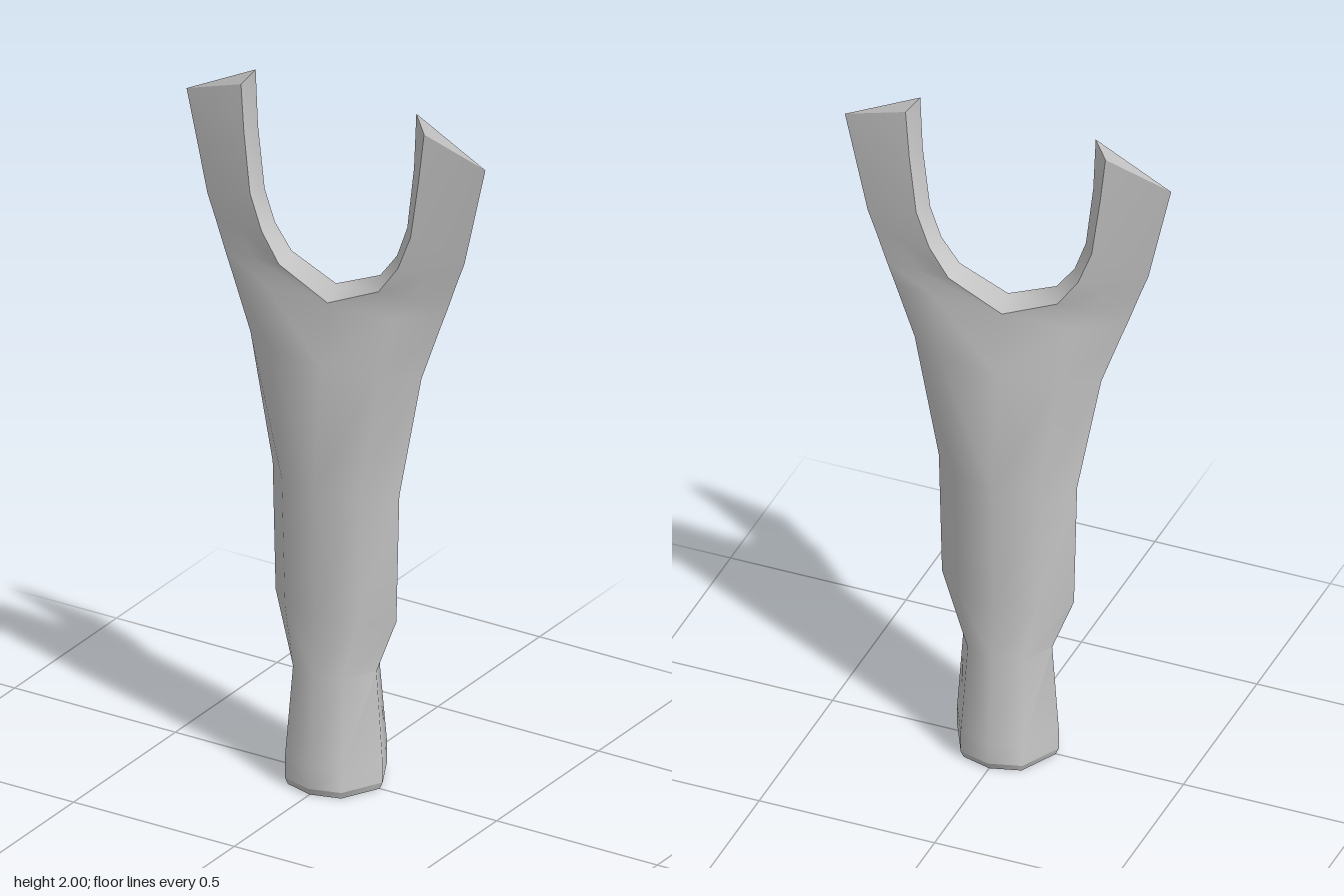
import * as THREE from 'three';
import { toCreasedNormals } from 'three/addons/utils/BufferGeometryUtils.js';

const material = new THREE.MeshStandardMaterial({ color: 0xcccccc, side: THREE.DoubleSide });

// Skins a grid of points (rows upward, columns outward) and mirrors it into all four quadrants.
function skin(name, rows, crease = 1.05) {
  const pos = [];
  for (const sx of [1, -1]) for (const sz of [1, -1]) {
    const tri = (a, b, c) => {
      for (const p of sx * sz > 0 ? [a, b, c] : [a, c, b]) pos.push(sx * p[0], p[1], sz * p[2]);
    };
    for (let r = 0; r < rows.length - 1; r++) {
      for (let c = 0; c < rows[r].length - 1; c++) {
        const a = rows[r][c], b = rows[r][c + 1], d = rows[r + 1][c + 1], e = rows[r + 1][c];
        tri(a, b, d);
        tri(a, d, e);
      }
    }
  }
  const geometry = new THREE.BufferGeometry();
  geometry.setAttribute('position', new THREE.Float32BufferAttribute(pos, 3));
  const mesh = new THREE.Mesh(toCreasedNormals(geometry, crease), material);
  mesh.name = name;
  return mesh;
}

// Quarter of an eight-sided section: centre depth, shoulder, half width.
const section = (y, depth, mx, mz, width) => [[0, y, depth], [mx, y, mz], [width, y, 0]];
const ring = (y, s) => section(y, 0.137 * s, 0.088 * s, 0.112 * s, 0.145 * s);

export function createModel() {
  const group = new THREE.Group();
  group.name = 'forkedHead';

  // Edge where the broad face meets the notch bevel, and the ridge inside the notch
  const bevel = [
    [0, 1.4, 0.042], [0.155, 1.47, 0.036], [0.212, 1.55, 0.031],
    [0.25, 1.65, 0.028], [0.272, 1.82, 0.023], [0.285, 1.955, 0.017],
  ];
  const ridge = [
    [0, 1.44, 0], [0.138, 1.5, 0], [0.19, 1.57, 0],
    [0.222, 1.66, 0], [0.243, 1.84, 0], [0.25, 2, 0],
  ];
  const outer = [
    [0.32, 1.38, 0], [0.346, 1.45, 0], [0.374, 1.53, 0],
    [0.4, 1.6, 0], [0.447, 1.81, 0], [0.465, 1.89, 0],
  ];
  const between = (a, b) => a.map((v, i) => (v + b[i]) / 2);

  // Rows across each prong
  const prong = bevel.map((p, i) => [p, i ? between(p, outer[i]) : [0.2, 1.4, 0.033], outer[i]]);

  // Socket neck, shank and both prongs in one skin
  group.add(skin('body', [
    ring(0.02, 1),
    ring(0.08, 1),
    section(0.34, 0.112, 0.078, 0.088, 0.126),
    section(0.5, 0.099, 0.112, 0.074, 0.188),
    section(0.87, 0.106, 0.12, 0.077, 0.197),
    section(1.23, 0.08, 0.17, 0.057, 0.266),
    ...prong,
  ]));

  // Bevelled notch between the prongs
  group.add(skin('notchBevel', ridge.map((p, i) => [p, bevel[i]])));

  // Slanted ends of the prongs
  const last = prong[5];
  group.add(skin('prongTips', [last, [ridge[5], between(ridge[5], outer[5]), outer[5]]]));

  // Hollow in the base, flat rim and chamfer
  group.add(skin('socket', [
    ring(0.3, 0), ring(0.3, 0.5), ring(0, 0.56), ring(0, 0.94), ring(0.02, 1),
  ], 0.8));

  return group;
}
